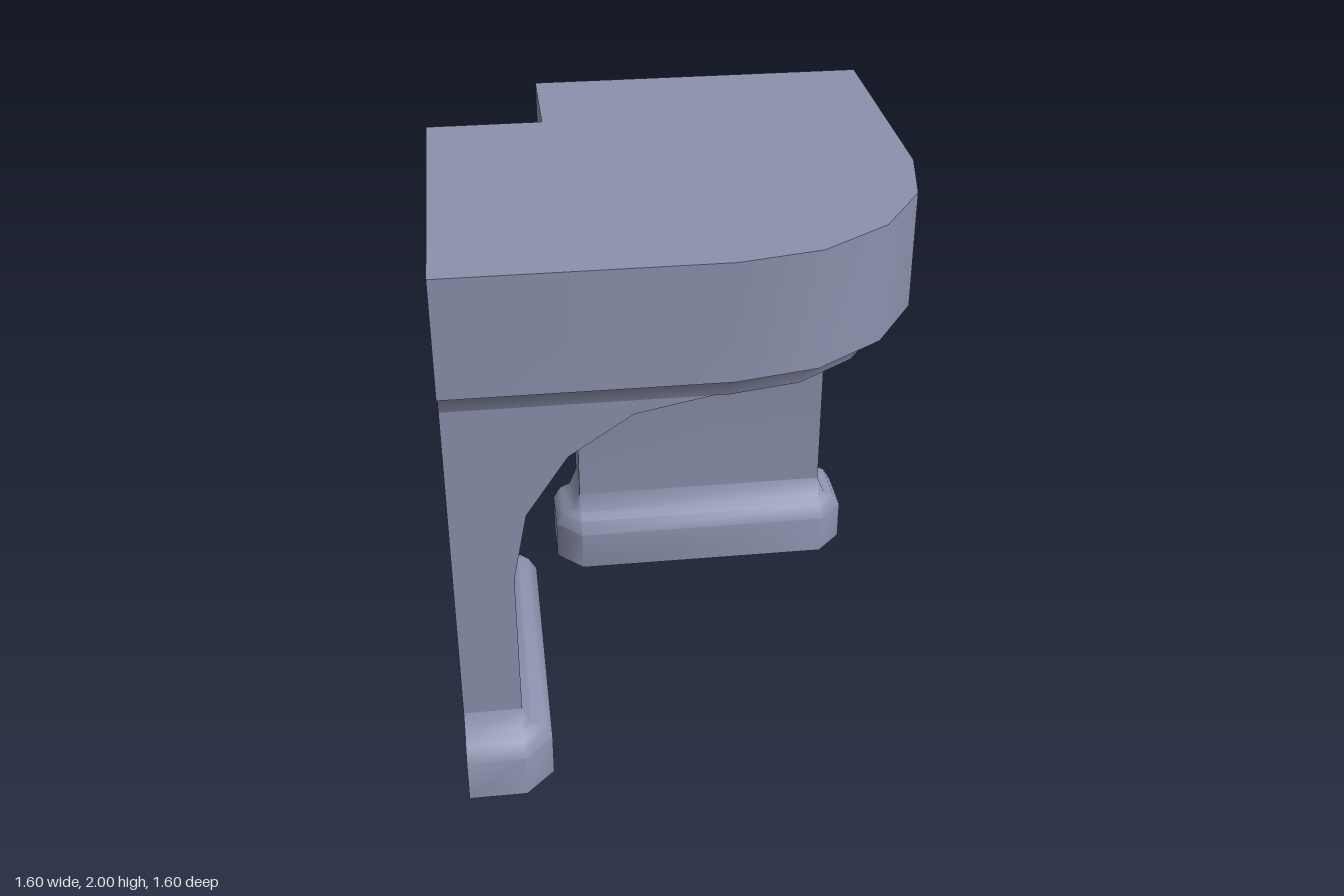
import * as THREE from 'three';
import { toCreasedNormals } from 'three/addons/utils/BufferGeometryUtils.js';

const CREASE = 0.8;

// Closed solid through stacked [x, z] outlines; profile is [offset, y] from bottom to top
function loft(outline, profile) {
  const pos = [];
  const rings = profile.map(([d, y]) => outline(d).map(([x, z]) => new THREE.Vector3(x, y, z)));
  const tri = (a, b, c) => {
    const area = b.clone().sub(a).cross(c.clone().sub(a)).length();
    if (area > 1e-7) for (const p of [a, b, c]) pos.push(p.x, p.y, p.z);
  };
  for (let r = 0; r < rings.length - 1; r++) {
    const lo = rings[r], hi = rings[r + 1];
    for (let i = 0; i < lo.length; i++) {
      const j = (i + 1) % lo.length;
      tri(lo[i], lo[j], hi[j]);
      tri(lo[i], hi[j], hi[i]);
    }
  }
  const cap = (ring, up) => {
    const flat = ring.map((p) => new THREE.Vector2(p.x, -p.z));
    for (const [a, b, c] of THREE.ShapeUtils.triangulateShape(flat, [])) {
      if (up) tri(ring[a], ring[b], ring[c]);
      else tri(ring[a], ring[c], ring[b]);
    }
  };
  cap(rings[0], false);
  cap(rings[rings.length - 1], true);
  const geo = new THREE.BufferGeometry();
  geo.setAttribute('position', new THREE.Float32BufferAttribute(pos, 3));
  return toCreasedNormals(geo, CREASE);
}

// Slab plan inset by d: rounded front corner, notched rear corner, flush outer sides
function slabOutline(d) {
  const pts = [[-0.8, 0.8 - d]];
  for (let i = 0; i <= 4; i++) {
    const a = Math.PI / 2 - (i * Math.PI) / 8;
    pts.push([0.1 + (0.7 - d) * Math.cos(a), 0.1 + (0.7 - d) * Math.sin(a)]);
  }
  pts.push([0.8 - d, -0.8], [-0.4 + d, -0.8], [-0.4 + d, -0.4 + d], [-0.8, -0.4 + d]);
  return pts;
}

// Plinth plan grown by d around the wall, with bevelled inner corners
const plinthOutline = (d) => [
  [-0.8, 0.7 + d], [-0.6, 0.7 + d], [-0.6 + d, 0.7],
  [-0.6 + d, -0.3], [-0.6, -0.3 - d], [-0.8, -0.3 - d],
];

// Wall whose inner face curves up into a half arch
function archWallGeometry() {
  const pts = [new THREE.Vector2(-0.8, 0.29), new THREE.Vector2(-0.6, 0.29)];
  for (let i = 0; i <= 4; i++) {
    const a = (i * Math.PI) / 8;
    pts.push(new THREE.Vector2(0.05 - 0.65 * Math.cos(a), 0.85 + 0.65 * Math.sin(a)));
  }
  pts.push(new THREE.Vector2(-0.8, 1.5));
  const geo = new THREE.ExtrudeGeometry(new THREE.Shape(pts), { depth: 1, bevelEnabled: false });
  geo.translate(0, 0, -0.3);
  return toCreasedNormals(geo, CREASE);
}

export function createModel() {
  const model = new THREE.Group();
  model.name = 'cornerArch';
  const stone = new THREE.MeshStandardMaterial({ color: 0x8c92ae });
  stone.name = 'blueGreyStone';

  const add = (parent, name, geo) => {
    const mesh = new THREE.Mesh(geo, stone);
    mesh.name = name;
    parent.add(mesh);
  };

  // Top slab with a cove moulding beneath
  add(model, 'topSlab', loft(slabOutline, [[0.1, 1.5], [0.071, 1.571], [0, 1.6], [0, 2]]));

  // Two identical half-arch walls on moulded plinths, at right angles
  const wall = archWallGeometry();
  const plinth = loft(plinthOutline, [[0.1, 0], [0.1, 0.16], [0.07, 0.21], [0.03, 0.228], [0, 0.3]]);
  for (const name of ['sideLeg', 'backLeg']) {
    const leg = new THREE.Group();
    leg.name = name;
    add(leg, 'archWall', wall);
    add(leg, 'plinth', plinth);
    if (name === 'backLeg') {
      leg.rotation.y = -Math.PI / 2;
      leg.position.x = 0.4;
    }
    model.add(leg);
  }
  return model;
}
